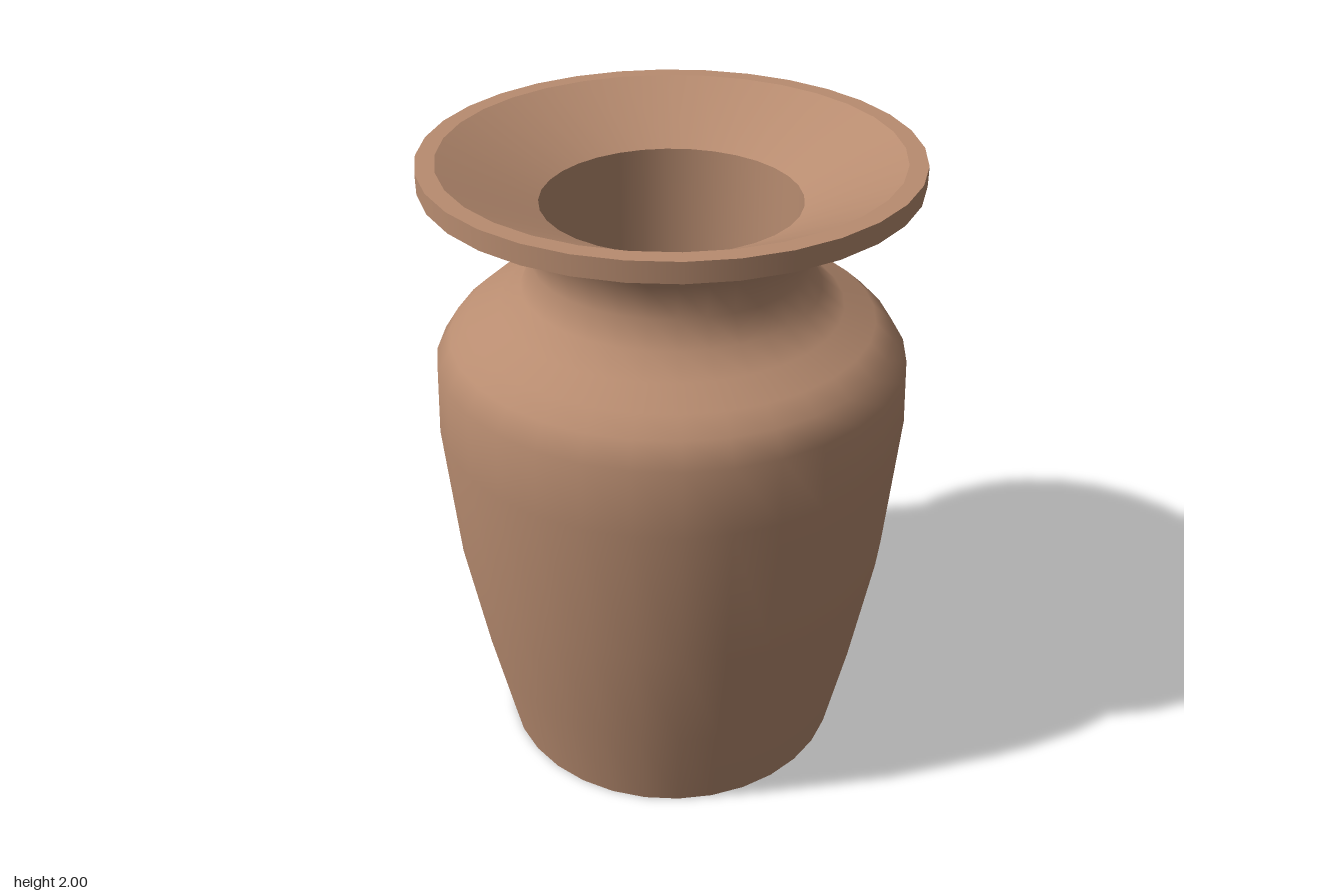
import * as THREE from 'three';

const SIDES = 32;
const clay = new THREE.MeshStandardMaterial({ color: 0xb88c70 });

// Each section is a smooth lathe; sharp edges fall where sections meet.
function section(name, profile) {
  const points = profile.map(([r, y]) => new THREE.Vector2(r, y));
  const mesh = new THREE.Mesh(new THREE.LatheGeometry(points, SIDES), clay);
  mesh.name = name;
  return mesh;
}

export function createModel() {
  const vase = new THREE.Group();
  vase.name = 'vase';
  vase.add(
    section('base', [[0, 0], [0.56, 0]]),
    // Tapered body, rounded shoulder, narrow neck and flared underside of the lip
    section('body', [
      [0.56, 0], [0.625, 0.32], [0.69, 0.71], [0.725, 1.17], [0.715, 1.38],
      [0.67, 1.45], [0.615, 1.5], [0.52, 1.54], [0.45, 1.6], [0.415, 1.68],
      [0.425, 1.78], [0.5, 1.88], [0.725, 1.94],
    ]),
    section('lipEdge', [[0.725, 1.94], [0.725, 2]]),
    section('lipTop', [[0.725, 2], [0.67, 2]]),
    section('mouth', [[0.67, 2], [0.385, 1.86]]),
    // Hollow inside
    section('innerWall', [[0.385, 1.86], [0.385, 0.1]]),
    section('innerFloor', [[0.385, 0.1], [0, 0.1]]),
  );
  return vase;
}
